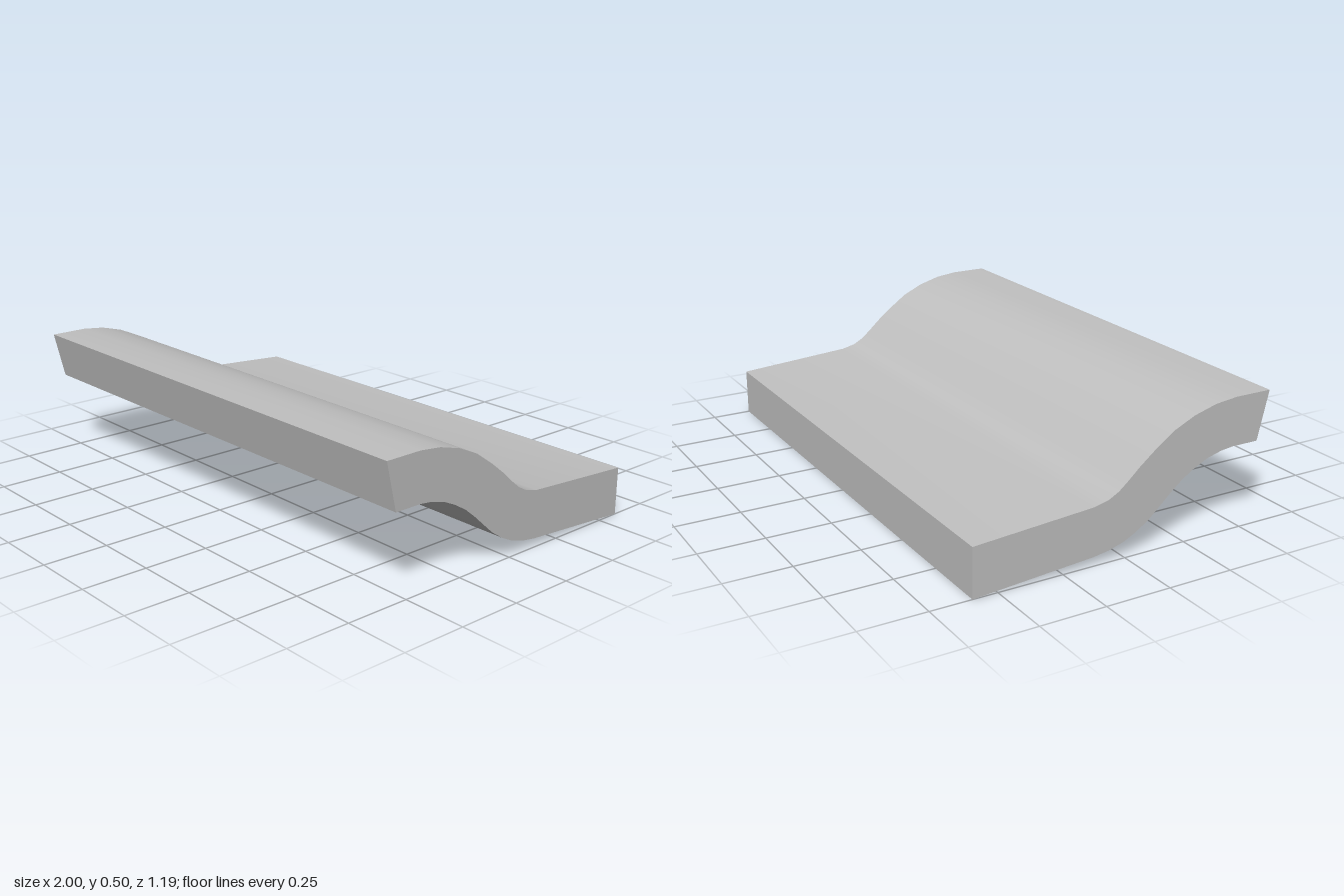
import * as THREE from 'three';
import { toCreasedNormals } from 'three/addons/utils/BufferGeometryUtils.js';

export function createModel() {
  const group = new THREE.Group();
  group.name = 'roofTile';
  const grey = new THREE.MeshStandardMaterial({ color: 0xc0c0c0 });
  grey.name = 'plain grey';

  // S-shaped cross-section as [z, y]: upper face front to back, then lower face back to front
  const upper = [
    [0.596, 0.5], [0.45, 0.5], [0.36, 0.49], [0.27, 0.465], [0.187, 0.427], [0.11, 0.373],
    [0.05, 0.325], [0, 0.28], [-0.034, 0.252], [-0.075, 0.23], [-0.13, 0.217], [-0.594, 0.185],
  ];
  const lower = [
    [-0.594, 0], [-0.13, 0.034], [-0.07, 0.043], [-0.008, 0.061], [0.043, 0.086], [0.095, 0.121],
    [0.145, 0.166], [0.187, 0.204], [0.23, 0.239], [0.28, 0.27], [0.335, 0.296], [0.395, 0.312],
    [0.445, 0.318], [0.553, 0.318],
  ];
  const profile = new THREE.Shape([...upper, ...lower].map(([z, y]) => new THREE.Vector2(z, y)));

  // Extrude across the full width, smooth along the curve with sharp outer edges
  const extruded = new THREE.ExtrudeGeometry(profile, { depth: 2, bevelEnabled: false });
  extruded.translate(0, 0, -1).rotateY(-Math.PI / 2);
  const slab = new THREE.Mesh(toCreasedNormals(extruded, 0.6), grey);
  slab.name = 'curvedSlab';
  group.add(slab);
  return group;
}
